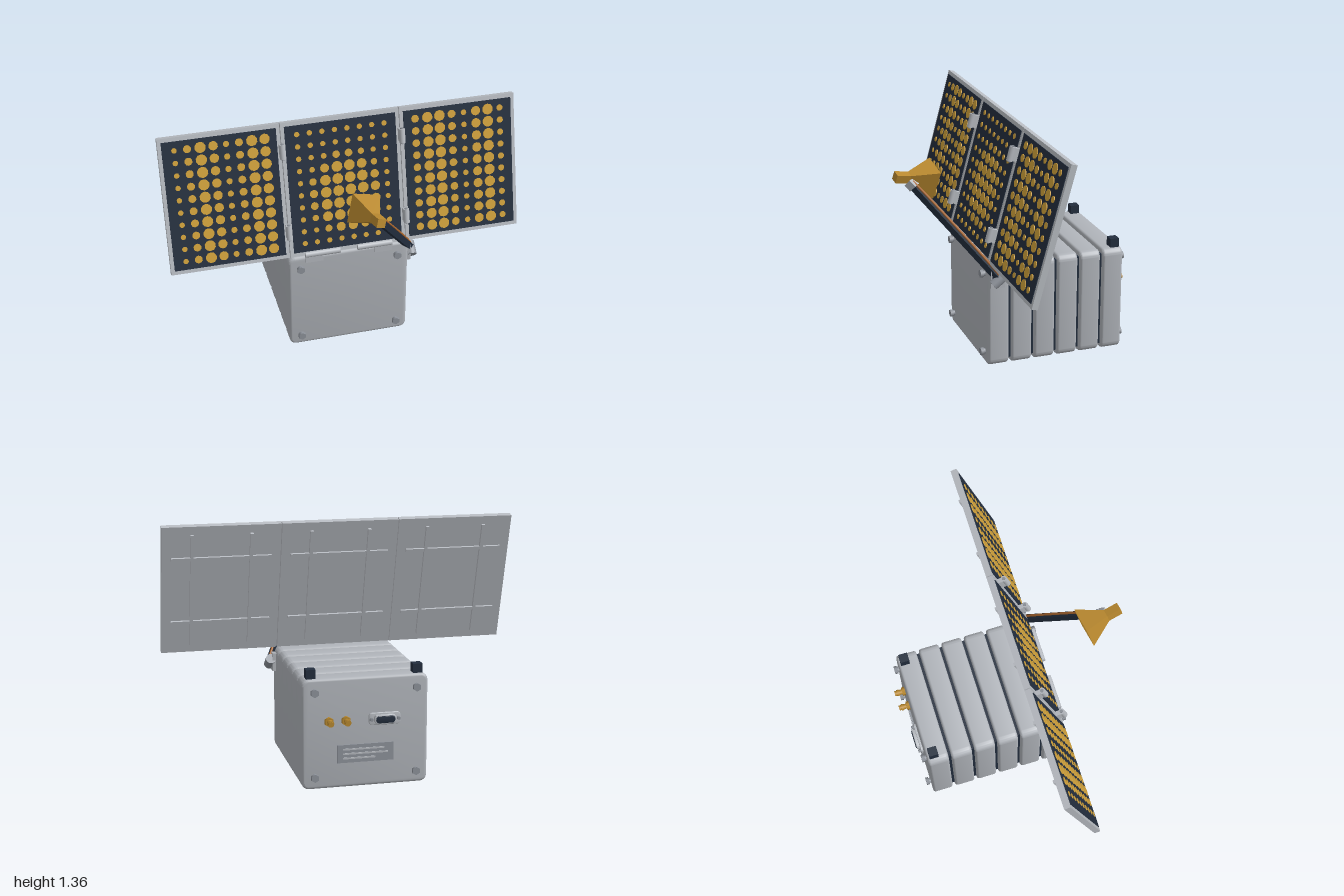
import * as THREE from 'three';
import { mergeGeometries, toCreasedNormals } from 'three/addons/utils/BufferGeometryUtils.js';

const mat = (name, color, side = THREE.FrontSide) => {
  const m = new THREE.MeshStandardMaterial({ color, side });
  m.name = name;
  return m;
};

export function createModel() {
  const shell = mat('shell grey', 0xb0b4ba);
  const steel = mat('steel grey', 0x8f949c);
  const silver = mat('frame silver', 0xb8bcc2);
  const navy = mat('dark navy', 0x232e3e);
  const gold = mat('patch gold', 0xd2a23a);
  const brass = mat('brass', 0xb9892f, THREE.DoubleSide);
  const copper = mat('cable copper', 0xb06a30);

  const model = new THREE.Group();
  const add = (name, geo, material, x = 0, y = 0, z = 0, parent = model) => {
    const m = new THREE.Mesh(geo, material);
    m.name = name;
    m.position.set(x, y, z);
    parent.add(m);
    return m;
  };
  const box = (w, h, d) => new THREE.BoxGeometry(w, h, d);
  const rodZ = (r, len, sides = 16) => new THREE.CylinderGeometry(r, r, len, sides).rotateX(Math.PI / 2);

  // Rounded slab, centred, with bevelled front and back rims
  const slab = (w, h, d, r, b) => {
    const s = new THREE.Shape();
    const x = w / 2 - b, y = h / 2 - b, q = r - b;
    s.moveTo(-x + q, -y);
    s.lineTo(x - q, -y);
    s.absarc(x - q, -y + q, q, -Math.PI / 2, 0);
    s.absarc(x - q, y - q, q, 0, Math.PI / 2);
    s.absarc(-x + q, y - q, q, Math.PI / 2, Math.PI);
    s.absarc(-x + q, -y + q, q, Math.PI, Math.PI * 1.5);
    const g = new THREE.ExtrudeGeometry(s, {
      depth: d - 2 * b, bevelSize: b, bevelThickness: b, bevelSegments: 3, curveSegments: 5,
    }).translate(0, 0, -d / 2 + b);
    return toCreasedNormals(g, 0.7);
  };

  // Body: six stacked frames around a dark core
  const moduleGeo = slab(0.695, 0.61, 0.12, 0.04, 0.015);
  for (let i = 0; i < 6; i++) add('bodyModule', moduleGeo, shell, 0, 0.305, 0.15 - i * 0.136);
  add('bodyCore', box(0.645, 0.55, 0.74), navy, 0, 0.305, -0.19);

  // Corner bolts front and back, with washers
  for (const x of [-0.28, 0.28]) for (const y of [0.07, 0.54]) for (const [z, s] of [[0.21, 1], [-0.59, -1]]) {
    add('boltWasher', rodZ(0.016, 0.014), steel, x, y, z + s * 0.005);
    add('bolt', rodZ(0.023, 0.018, 6), steel, x, y, z + s * 0.019);
  }

  // Rear face fittings
  for (const x of [-0.293, 0.293]) add('rearBlock', box(0.052, 0.052, 0.052), navy, x, 0.634, -0.55);
  for (const x of [0.107, 0.2]) {
    add('connectorNut', rodZ(0.026, 0.02, 6), brass, x, 0.375, -0.598);
    add('connectorBarrel', rodZ(0.015, 0.06), brass, x, 0.375, -0.622);
    add('connectorCollar', rodZ(0.019, 0.014), brass, x, 0.375, -0.632);
  }
  add('socketFlange', slab(0.175, 0.068, 0.014, 0.02, 0.003), silver, -0.105, 0.375, -0.596);
  add('socketShell', slab(0.12, 0.05, 0.024, 0.02, 0.003), silver, -0.105, 0.375, -0.609);
  add('socketInsert', slab(0.105, 0.038, 0.01, 0.017, 0.002), navy, -0.105, 0.375, -0.62);
  for (const s of [-1, 1]) add('socketScrew', rodZ(0.01, 0.02, 6), steel, -0.105 + s * 0.075, 0.375, -0.608);
  add('dataPlate', box(0.31, 0.1, 0.01), steel, 0, 0.19, -0.593);
  [[0.23, 0.215], [0.25, 0.19], [0.18, 0.165]].forEach(([w, y]) =>
    add('plateBar', box(w, 0.009, 0.005), silver, 0.125 - w / 2, y, -0.599));

  // Tilted three-leaf reflector; local origin at its lower front edge
  const array = new THREE.Group();
  array.name = 'reflectorArray';
  array.position.set(0, 0.618, 0.205);
  array.rotation.x = -0.267;
  model.add(array);
  const sideRadii = {
    '-1': [0.015, 0.022, 0.031, 0.026, 0.017, 0.022, 0.031, 0.029],
    1: [0.022, 0.03, 0.031, 0.023, 0.016, 0.027, 0.031, 0.018],
  };
  const patches = [];
  for (const p of [-1, 0, 1]) {
    const cx = p * 0.667;
    add('panelLeaf', box(0.663, 0.774, 0.034), silver, cx, 0.387, -0.017, array);
    add('panelFace', box(0.622, 0.73, 0.005), navy, cx, 0.387, 0.0015, array);
    // Back stiffeners
    for (const s of [-1, 1]) {
      add('verticalRib', box(0.018, 0.68, 0.018), silver, cx + s * 0.165, 0.387, -0.042, array);
      add('crossRib', box(0.56, 0.018, 0.014), silver, cx, 0.387 + s * 0.195, -0.04, array);
    }
    // Patch grid, 8 columns by 10 rows
    for (let c = 0; c < 8; c++) for (let r = 0; r < 10; r++) {
      const u = (c - 3.5) * 0.07, v = (r - 4.5) * 0.07;
      const radius = p ? sideRadii[p][c]
        : Math.max(0.015, 0.034 - 0.19 * Math.max(0, Math.hypot(u - 0.01, (v + 0.05) * 0.85) - 0.13));
      patches.push(rodZ(Math.min(radius, 0.031), 0.004, 10).translate(cx + u, 0.387 + v, 0.006));
    }
  }
  add('reflectorPatches', mergeGeometries(patches), gold, 0, 0, 0, array);

  // Hinges between the leaves
  for (const x of [-0.335, 0.335]) for (const y of [0.16, 0.625]) {
    add('leafHingeBase', box(0.026, 0.074, 0.03), silver, x, y, 0.014, array);
    add('leafHingeBarrel', new THREE.CylinderGeometry(0.017, 0.017, 0.08, 14), silver, x, y, 0.038, array);
    add('leafHingePin', new THREE.CylinderGeometry(0.009, 0.009, 0.092, 10), steel, x, y, 0.038, array);
  }

  // Hinges joining the reflector to the body
  for (const s of [-1, 1]) {
    add('rootHingeLeaf', box(0.1, 0.05, 0.018), silver, s * 0.2, 0.602, 0.212);
    add('rootHingeBarrel', new THREE.CylinderGeometry(0.017, 0.017, 0.2, 14).rotateZ(Math.PI / 2),
      silver, s * 0.15, 0.624, 0.208);
  }

  // Feed arm with cable and end fittings
  const a = new THREE.Vector3(0.378, 0.53, 0.155), b = new THREE.Vector3(0.068, 1.035, 0.56);
  const dir = b.clone().sub(a), len = dir.length();
  dir.normalize();
  const out = new THREE.Vector3(0.45, 0.6, -0.4).addScaledVector(dir, -dir.dot(new THREE.Vector3(0.45, 0.6, -0.4))).normalize();
  const side = new THREE.Vector3().crossVectors(out, dir);
  const basis = new THREE.Matrix4().makeBasis(out, dir, side);
  const arm = new THREE.Group();
  arm.name = 'feedArm';
  arm.quaternion.setFromRotationMatrix(basis);
  arm.position.copy(a);
  model.add(arm);
  add('armTube', box(0.035, len, 0.035), navy, 0, len / 2, 0, arm);
  const cablePath = new THREE.CatmullRomCurve3([
    [0.018, 0.02], [0.024, 0.1], [0.024, len - 0.1], [0.02, len],
  ].map(([x, y]) => new THREE.Vector3(x, y, 0)));
  add('armCable', new THREE.TubeGeometry(cablePath, 20, 0.007, 8), copper, 0, 0, 0, arm);
  add('armEndClamp', box(0.048, 0.045, 0.048), silver, 0, len - 0.01, 0, arm);
  add('armMount', box(0.025, 0.105, 0.08), shell, 0.355, 0.53, 0.162);
  const knuckle = add('armKnuckle', new THREE.CylinderGeometry(0.029, 0.029, 0.08, 18), steel, 0.376, 0.527, 0.162);
  knuckle.rotation.x = -0.93;

  // Square feed horn aimed back at the reflector
  const horn = new THREE.Group();
  horn.name = 'feedHorn';
  horn.position.set(0.045, 1.06, 0.565);
  horn.lookAt(new THREE.Vector3(0.045 - 0.024, 1.06 - 0.027, 0.565 - 0.14));
  horn.rotateZ(0.28);
  model.add(horn);
  const flare = new THREE.CylinderGeometry(0.082 * Math.SQRT2, 0.024 * Math.SQRT2, 0.14, 4, 1, true)
    .rotateY(Math.PI / 4).rotateX(Math.PI / 2).toNonIndexed();
  flare.computeVertexNormals();
  add('hornFlare', flare, brass, 0, 0, 0.07, horn);
  add('hornWaveguide', box(0.048, 0.048, 0.085), brass, 0, 0, -0.04, horn);

  return model;
}
